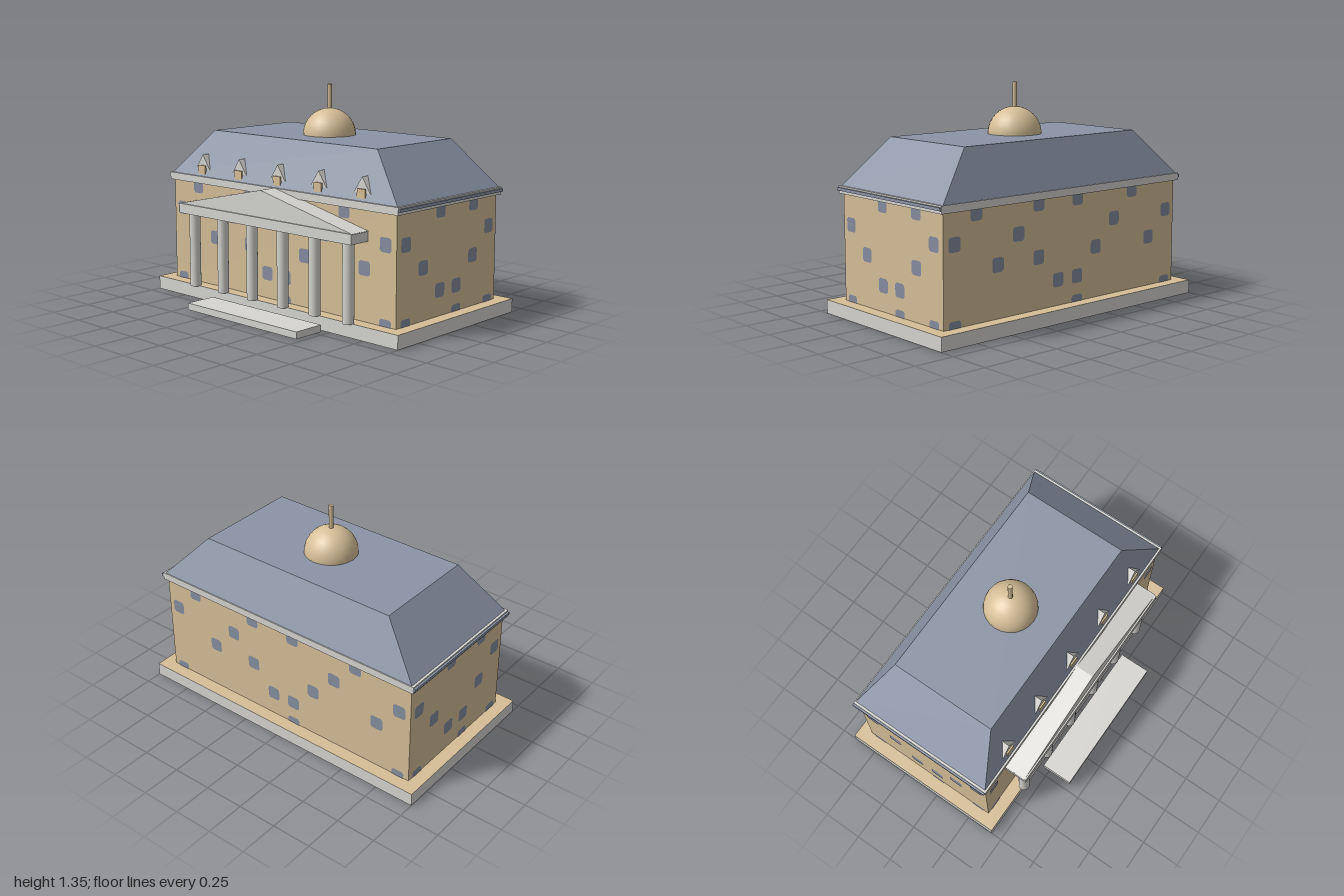
import * as THREE from 'three';

const mat = (name, color) => {
  const m = new THREE.MeshStandardMaterial({ color });
  m.name = name;
  return m;
};

export function createModel() {
  const stone = mat('pale stone', 0xd6d5d1);
  const sand = mat('sandstone', 0xd6bf98);
  const slate = mat('blue slate', 0x8b94a6);
  const glass = mat('window blue', 0x858d9f);
  const model = new THREE.Group();
  model.name = 'mansion';
  const midZ = -0.11;

  const add = (name, geometry, material, parent = model) => {
    const mesh = new THREE.Mesh(geometry, material);
    mesh.name = name;
    parent.add(mesh);
    return mesh;
  };
  // Box given by its extents
  const box = (name, x0, x1, y0, y1, z0, z1, material, parent) => {
    const g = new THREE.BoxGeometry(x1 - x0, y1 - y0, z1 - z0);
    g.translate((x0 + x1) / 2, (y0 + y1) / 2, (z0 + z1) / 2);
    return add(name, g, material, parent);
  };
  // Triangular gable running along z
  const gable = (name, half, y0, y1, z0, z1, parent) => {
    const s = new THREE.Shape([
      new THREE.Vector2(-half, y0), new THREE.Vector2(half, y0), new THREE.Vector2(0, y1)]);
    const g = new THREE.ExtrudeGeometry(s, { depth: z1 - z0, bevelEnabled: false });
    g.translate(0, 0, z0);
    return add(name, g, stone, parent);
  };

  // Base, with a sandstone terrace on top, and the front step
  box('plinth', -1, 1, 0, 0.083, -0.65, 0.43, [stone, stone, sand, stone, stone, stone]);
  box('frontStep', -0.458, 0.458, 0, 0.042, 0.455, 0.655, stone);

  // Walls and cornice
  box('walls', -0.92, 0.92, 0.08, 0.74, -0.57, 0.35, sand);
  box('cornice', -0.942, 0.942, 0.72, 0.765, -0.588, 0.368, stone);
  for (const s of [-1, 1]) {
    const gutter = box('sideGutter', -0.008, 0.008, 0.738, 0.756, -0.588, 0.363, slate);
    gutter.position.x = s * 0.946;
  }

  // Hipped roof with a flat top
  const roof = new THREE.BoxGeometry(1.86, 0.28, 0.94);
  const p = roof.attributes.position;
  for (let i = 0; i < p.count; i++) {
    if (p.getY(i) > 0) {
      p.setX(i, Math.sign(p.getX(i)) * 0.67);
      p.setZ(i, Math.sign(p.getZ(i)) * 0.337);
    }
  }
  roof.computeVertexNormals();
  add('roof', roof, slate).position.set(0, 0.902, midZ - 0.003);

  // Dome and spire
  const dome = new THREE.SphereGeometry(0.162, 24, 8, 0, Math.PI * 2, 0, Math.PI / 2);
  add('dome', dome, sand).position.set(0, 1.042, midZ);
  add('spire', new THREE.CylinderGeometry(0.014, 0.014, 0.17, 12), sand)
    .position.set(0, 1.265, midZ);

  // Portico
  const portico = new THREE.Group();
  portico.name = 'portico';
  model.add(portico);
  const columnGeo = new THREE.CylinderGeometry(0.034, 0.034, 0.467, 24);
  for (let i = 0; i < 6; i++) {
    add('column', columnGeo, stone, portico).position.set(-0.642 + i * 0.2568, 0.3145, 0.43);
  }
  box('entablature', -0.715, 0.715, 0.545, 0.605, 0.35, 0.493, stone, portico);
  gable('pediment', 0.72, 0.603, 0.766, 0.34, 0.483, portico);

  // Dormers
  for (let i = 0; i < 5; i++) {
    const dormer = new THREE.Group();
    dormer.name = 'dormer';
    dormer.position.x = -0.66 + i * 0.33;
    gable('dormerGable', 0.062, 0.807, 0.9, 0.26, 0.34, dormer);
    box('dormerFront', -0.03, 0.03, 0.775, 0.832, 0.28, 0.35, sand, dormer);
    model.add(dormer);
  }

  // Windows: thin panes with clipped corners, scattered on a regular grid
  const h = 0.042, c = 0.03;
  const pane = new THREE.ShapeGeometry(new THREE.Shape(
    [[-c, -h], [c, -h], [h, -c], [h, c], [c, h], [-c, h], [-h, c], [-h, -c]]
      .map(([x, y]) => new THREE.Vector2(x, y))));
  const cell = 0.1535;
  const longRows = [[0, 6, 11], [5, 6], [2, 4, 7, 10], [0, 3, 8, 11], [1, 4, 6, 9]];
  const shortRows = [[0, 3, 5], [2, 3], [1, 4], [0, 5], [2, 4]];
  const facade = (name, rows, columns, distance, angle) => {
    const group = new THREE.Group();
    group.name = name;
    rows.forEach((list, r) => list.forEach((k) => {
      add('window', pane, glass, group)
        .position.set((k - (columns - 1) / 2) * cell, 0.083 + r * cell, distance);
    }));
    group.rotation.y = angle;
    group.position.z = midZ;
    model.add(group);
  };
  facade('frontWindows', longRows, 12, 0.463, 0);
  facade('backWindows', longRows, 12, 0.463, Math.PI);
  facade('leftWindows', shortRows, 6, 0.923, Math.PI / 2);
  facade('rightWindows', shortRows, 6, 0.923, -Math.PI / 2);

  return model;
}
